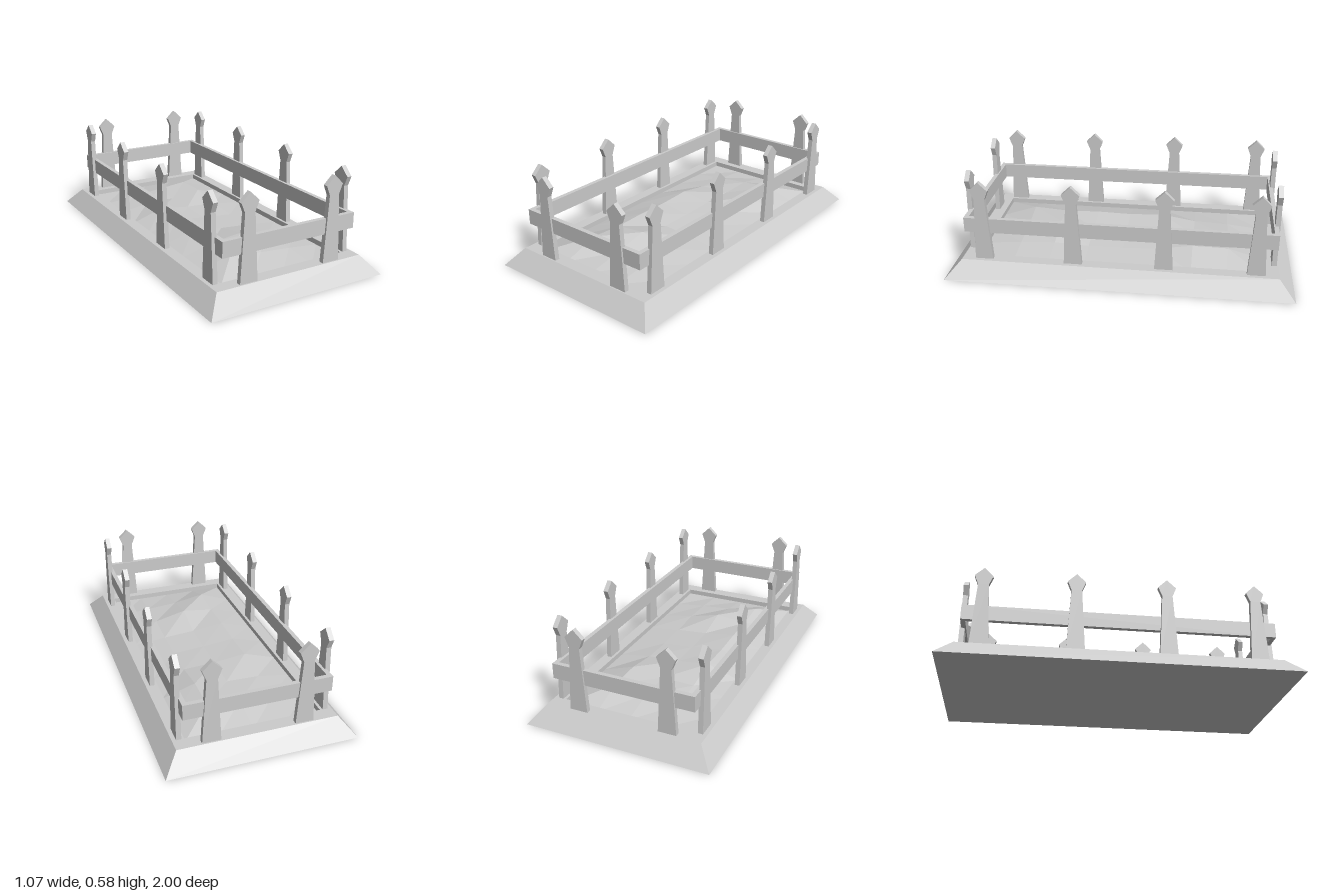
import * as THREE from 'three';

const material = new THREE.MeshStandardMaterial({ color: 0xcccccc, flatShading: true });

function addMesh(parent, name, geometry) {
  const mesh = new THREE.Mesh(geometry, material);
  mesh.name = name;
  parent.add(mesh);
  return mesh;
}

// Skin a stack of rectangles [halfX, halfZ, y], with the first one capped below
function rectLoft(rings) {
  const corners = [[-1, 1], [1, 1], [1, -1], [-1, -1]];
  const positions = [], index = [];
  rings.forEach(([hx, hz, y]) => corners.forEach(([sx, sz]) => positions.push(sx * hx, y, sz * hz)));
  for (let r = 0; r < rings.length - 1; r++) {
    for (let i = 0; i < 4; i++) {
      const a = r * 4 + i, b = r * 4 + (i + 1) % 4;
      index.push(a, b, b + 4, a, b + 4, a + 4);
    }
  }
  index.push(0, 2, 1, 0, 3, 2);
  const geometry = new THREE.BufferGeometry();
  geometry.setAttribute('position', new THREE.Float32BufferAttribute(positions, 3));
  geometry.setIndex(index);
  const flat = geometry.toNonIndexed();
  flat.computeVertexNormals();
  return flat;
}

// Uneven soil: a 4 x 8 grid, low at its border
function soilGeometry() {
  const heights = [
    [0.09, 0.11, 0.13],
    [0.10, 0.105, 0.133],
    [0.133, 0.11, 0.10],
    [0.125, 0.105, 0.09],
    [0.13, 0.105, 0.09],
    [0.125, 0.147, 0.10],
    [0.14, 0.105, 0.09],
  ];
  const geometry = new THREE.PlaneGeometry(0.77, 1.66, 4, 8).rotateX(-Math.PI / 2);
  const pos = geometry.attributes.position;
  for (let i = 0; i < pos.count; i++) {
    const col = i % 5, row = Math.floor(i / 5);
    pos.setY(i, heights[row - 1]?.[col - 1] ?? 0.07);
  }
  const flat = geometry.toNonIndexed();
  flat.computeVertexNormals();
  return flat;
}

// Tapered picket with a pointed head, centred on its thickness
function picketGeometry() {
  const thickness = 0.028;
  const half = [[0.052, 0.1], [0.03, 0.475], [0.052, 0.53], [0, 0.58]];
  const outline = [...half, ...half.slice(0, 3).reverse().map(([x, y]) => [-x, y])];
  const shape = new THREE.Shape(outline.map(([x, y]) => new THREE.Vector2(x, y)));
  return new THREE.ExtrudeGeometry(shape, { depth: thickness, bevelEnabled: false })
    .translate(0, 0, -thickness / 2);
}

// Closed rectangular rail
function railGeometry() {
  const rect = (Type, x, z) => new Type([[-x, -z], [x, -z], [x, z], [-x, z]]
    .map(([a, b]) => new THREE.Vector2(a, b)));
  const shape = rect(THREE.Shape, 0.411, 0.89);
  shape.holes.push(rect(THREE.Path, 0.385, 0.864));
  return new THREE.ExtrudeGeometry(shape, { depth: 0.088, bevelEnabled: false })
    .rotateX(-Math.PI / 2).translate(0, 0.26, 0);
}

export function createModel() {
  const model = new THREE.Group();
  model.name = 'fencedPlot';

  // Sloped plinth with a shallow recess
  addMesh(model, 'base', rectLoft([
    [0.535, 1, 0], [0.452, 0.908, 0.1], [0.385, 0.83, 0.1], [0.385, 0.83, 0.07],
  ]));
  addMesh(model, 'soil', soilGeometry());

  const fence = new THREE.Group();
  fence.name = 'fence';
  model.add(fence);
  addMesh(fence, 'rail', railGeometry());

  // Four pickets on each long side, two on each end
  const picket = picketGeometry();
  for (const side of [-1, 1]) {
    for (const z of [-0.78, -0.26, 0.26, 0.78]) {
      const post = addMesh(fence, 'sidePicket', picket);
      post.position.set(side * 0.415, 0, z);
      post.rotation.y = Math.PI / 2;
    }
    for (const x of [-0.26, 0.26]) {
      addMesh(fence, 'endPicket', picket).position.set(x, 0, side * 0.886);
    }
  }
  return model;
}
